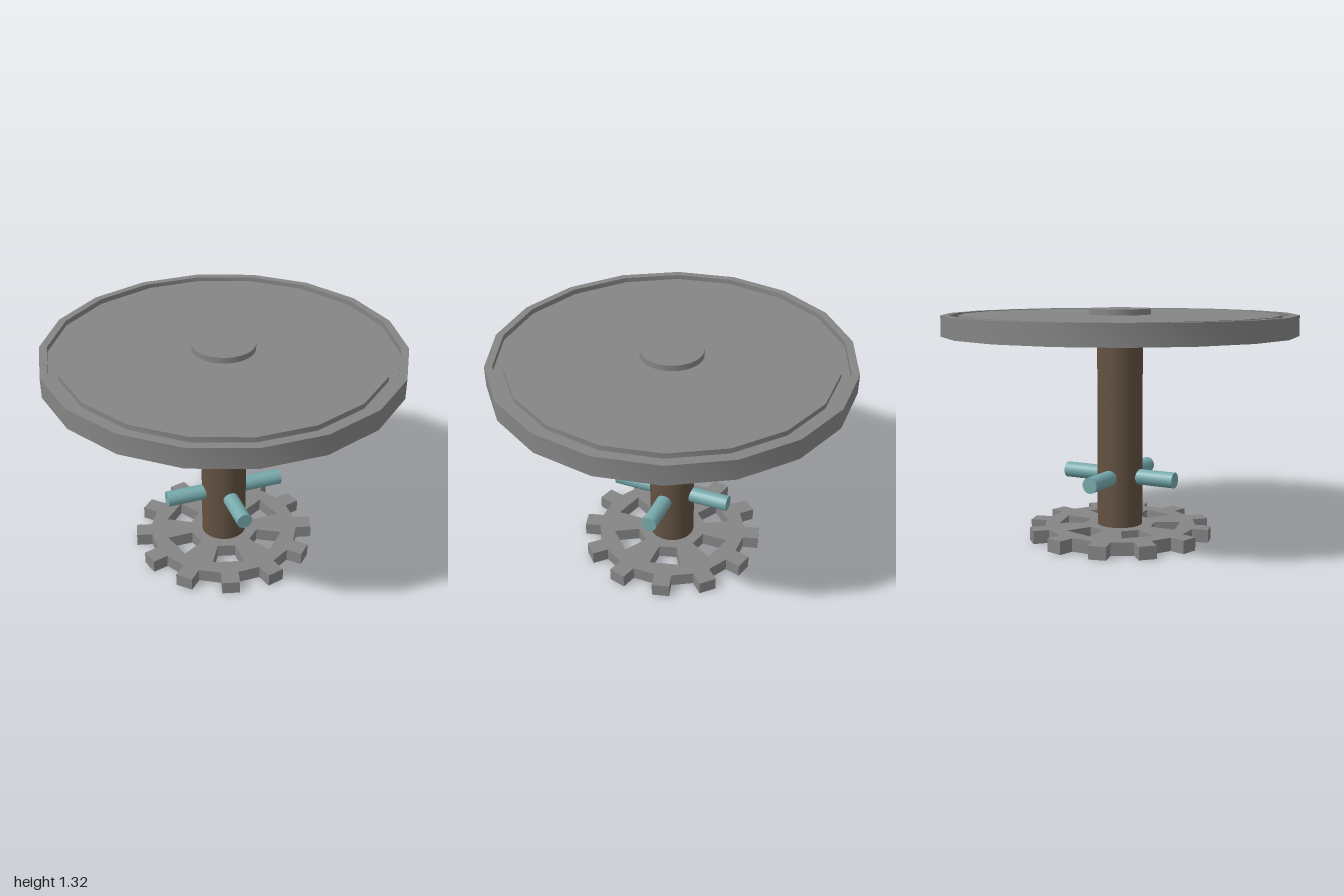
import * as THREE from 'three';
import { toCreasedNormals } from 'three/addons/utils/BufferGeometryUtils.js';

const grey = new THREE.MeshStandardMaterial({ color: 0x858585 });
const brown = new THREE.MeshStandardMaterial({ color: 0x635141 });
const teal = new THREE.MeshStandardMaterial({ color: 0x76a9ac });

function part(name, geometry, material) {
  const mesh = new THREE.Mesh(geometry, material);
  mesh.name = name;
  return mesh;
}

// Upright cylinder between two heights
function post(name, radius, y0, y1, material) {
  const geometry = new THREE.CylinderGeometry(radius, radius, y1 - y0, 32);
  geometry.translate(0, (y0 + y1) / 2, 0);
  return part(name, geometry, material);
}

// Gear outline with parallel-sided teeth, six windows and a centre bore
function gearGeometry() {
  const teeth = 12, tip = 0.525, root = 0.434, half = 0.05, height = 0.075;
  const outline = [];
  for (let i = 0; i < teeth; i++) {
    const a = Math.PI / 12 + (i * 2 * Math.PI) / teeth;
    const dir = new THREE.Vector2(Math.cos(a), Math.sin(a));
    for (const [r, w] of [[root, -half], [tip, -half], [tip, half], [root, half]])
      outline.push(new THREE.Vector2(dir.x * r - dir.y * w, dir.y * r + dir.x * w));
  }
  const shape = new THREE.Shape(outline);

  for (let i = 0; i < 6; i++) {
    const a = -Math.PI / 4 + (i * Math.PI) / 3;
    const spread = Math.PI / 12;
    const corners = [[0.2, -spread], [0.2, spread], [0.35, spread], [0.35, -spread]];
    shape.holes.push(new THREE.Path(corners.map(([r, d]) =>
      new THREE.Vector2(r * Math.cos(a + d), r * Math.sin(a + d)))));
  }
  shape.holes.push(new THREE.Path().absarc(0, 0, 0.13, 0, 2 * Math.PI, true));

  const geometry = new THREE.ExtrudeGeometry(shape, { depth: height, bevelEnabled: false, curveSegments: 16 });
  geometry.rotateX(-Math.PI / 2);
  return toCreasedNormals(geometry, 0.5);
}

// Eighteen-sided top with a groove just inside its rim
function discGeometry() {
  const profile = [
    [0, 1.17], [1, 1.17], [1, 1.285], [0.957, 1.285],
    [0.957, 1.255], [0.905, 1.255], [0.905, 1.284], [0, 1.284],
  ].map(([r, y]) => new THREE.Vector2(r, y));
  const geometry = new THREE.LatheGeometry(profile, 18);
  geometry.rotateY(Math.PI / 2);
  return toCreasedNormals(geometry, 0.6);
}

export function createModel() {
  const model = new THREE.Group();
  model.name = 'gearTable';

  model.add(part('gearBase', gearGeometry(), grey));
  model.add(post('column', 0.13, 0.045, 1.2, brown));
  model.add(part('tableTop', discGeometry(), grey));
  model.add(post('topCap', 0.175, 1.26, 1.317, grey));

  // Four pegs around the column
  const pegs = new THREE.Group();
  pegs.name = 'pegs';
  for (let i = 0; i < 4; i++) {
    const geometry = new THREE.CylinderGeometry(0.045, 0.045, 0.25, 20);
    geometry.rotateX(Math.PI / 2);
    geometry.translate(0, 0.36, 0.225);
    geometry.rotateY((i * Math.PI) / 2);
    pegs.add(part('peg', geometry, teal));
  }
  model.add(pegs);

  return model;
}
